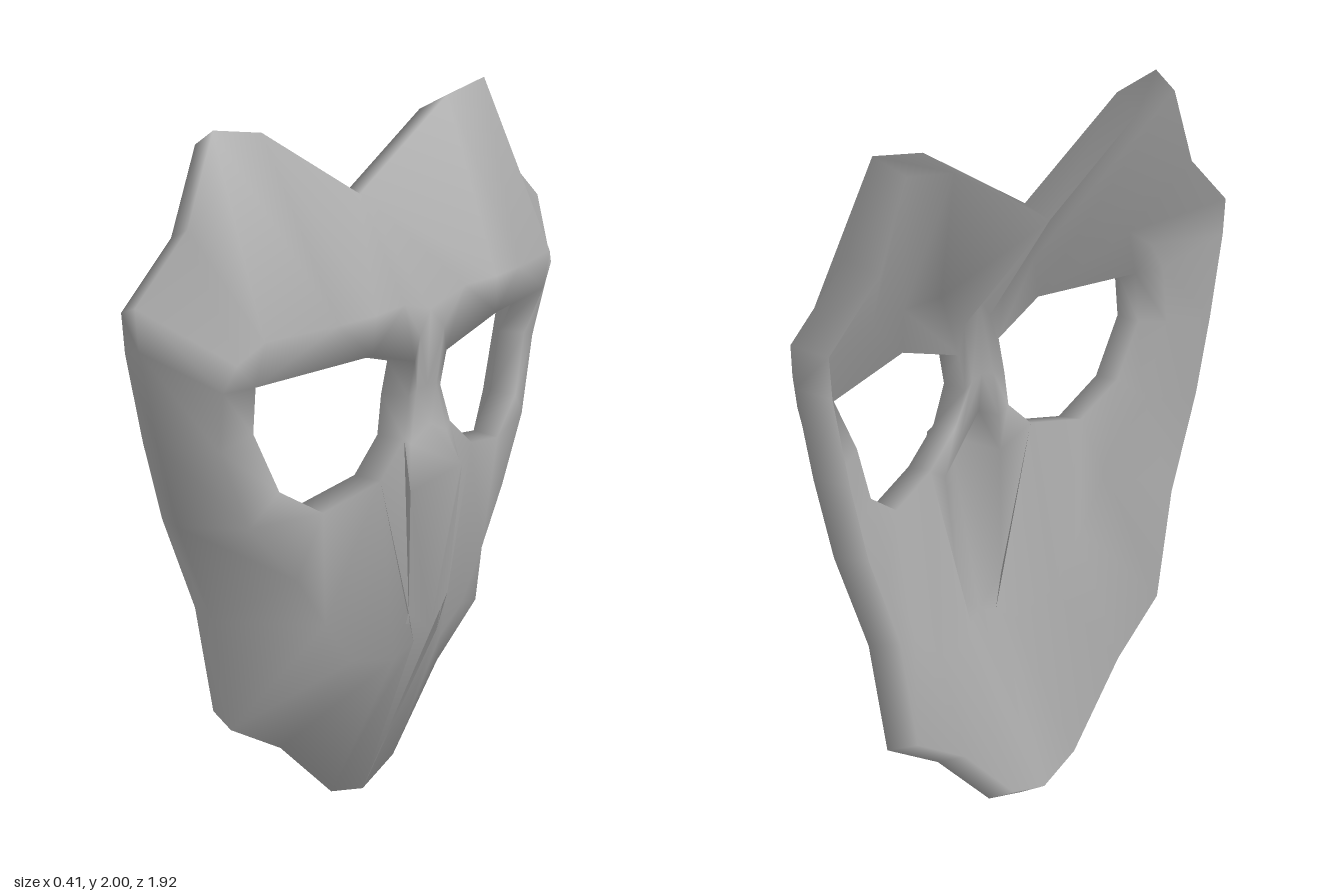
import * as THREE from 'three';
import { mergeVertices } from 'three/addons/utils/BufferGeometryUtils.js';

// All loops are [z, y, x] and run over the +z half: top centre, side, chin, midline.
const EDGE = -0.13, THICK = 0.08, RIM = 12;
const outline = [
  [0, 1.75, EDGE], [0.44, 1.97, EDGE], [0.64, 2, EDGE], [0.75, 1.77, EDGE],
  [0.96, 1.61, EDGE], [0.95, 1.5, EDGE], [0.89, 1.25, EDGE], [0.82, 1.02, EDGE],
  [0.69, 0.73, EDGE], [0.62, 0.4, EDGE], [0.4, 0.27, EDGE], [0.16, 0.05, EDGE],
  [0, 0, EDGE],
  // midline: chin, nose tip, nose bridge, brow
  [0, 0.54, 0.1], [0, 1.04, 0.2], [0, 1.14, 0.1], [0, 1.25, 0.09], [0, 1.46, 0.1],
];
// brow ridge, temple, cheek, jaw and side of the nose
const relief = [
  [0.15, 1.5, 0.115], [0.3, 1.5, 0.125], [0.45, 1.5, 0.11], [0.7, 1.5, 0.065],
  [0.77, 1.45, 0.03], [0.79, 1.38, 0], [0.77, 1.22, -0.03], [0.68, 1, -0.01],
  [0.52, 0.82, 0.02], [0.4, 0.66, 0.025], [0.28, 0.52, 0.03], [0.12, 0.48, 0.06],
  [0.06, 0.52, 0.085], [0.1, 0.62, 0.095], [0.13, 0.98, 0.12], [0.09, 1.1, 0.095],
  [0.05, 1.24, 0.087], [0.06, 1.4, 0.105],
];
// eye opening, and which of its corners each relief point joins
const eyeCorners = [
  [0.08, 1.33, 0.1], [0.31, 1.395, 0.12], [0.71, 1.385, 0.04], [0.67, 1.25, 0],
  [0.59, 1.08, 0.02], [0.44, 0.99, 0.05], [0.23, 1.03, 0.09], [0.115, 1.12, 0.09],
  [0.08, 1.23, 0.08],
];
const eye = [0, 1, 1, 2, 2, 2, 3, 4, 5, 5, 6, 6, 6, 6, 7, 7, 8, 0].map((i) => eyeCorners[i]);

// The inner surface lies behind the outer one, its edges drawn in slightly.
const shrink = (p, cz, cy, s) => [cz + (p[0] - cz) * s, cy + (p[1] - cy) * s, p[2] - THICK];
const backOutline = outline.map((p, i) => shrink(p, 0, 1, i <= RIM ? 0.955 : 1));
const backRelief = relief.map((p) => shrink(p, 0, 1, 1));
const backEye = eye.map((p) => shrink(p, 0.4, 1.2, 0.96));

function maskGeometry() {
  const positions = [];
  const same = (p, q) => p.every((v, k) => Math.abs(v - q[k]) < 1e-6);

  // Adds a triangle and its mirror image
  const triangle = (a, b, c) => {
    if (same(a, b) || same(b, c) || same(a, c)) return;
    for (const p of [a, b, c]) positions.push(p[2], p[1], p[0]);
    for (const p of [a, c, b]) positions.push(p[2], p[1], -p[0]);
  };
  // Joins two loops with quads
  const band = (a, b, count = a.length) => {
    for (let i = 0; i < count; i++) {
      const j = (i + 1) % a.length;
      triangle(a[i], a[j], b[j]);
      triangle(a[i], b[j], b[i]);
    }
  };

  band(outline, relief); // front
  band(relief, eye);
  band(backRelief, backOutline); // back
  band(backEye, backRelief);
  band(backOutline, outline, RIM); // outer rim
  band(eye, backEye); // eye walls

  const geometry = new THREE.BufferGeometry();
  geometry.setAttribute('position', new THREE.Float32BufferAttribute(positions, 3));
  const smooth = mergeVertices(geometry, 1e-4);
  smooth.computeVertexNormals();
  return smooth;
}

export function createModel() {
  const grey = new THREE.MeshStandardMaterial({ color: 0xa8a8a8 });
  grey.name = 'grey';
  const mask = new THREE.Mesh(maskGeometry(), grey);
  mask.name = 'faceMask';
  const group = new THREE.Group();
  group.name = 'mask';
  group.add(mask);
  return group;
}
